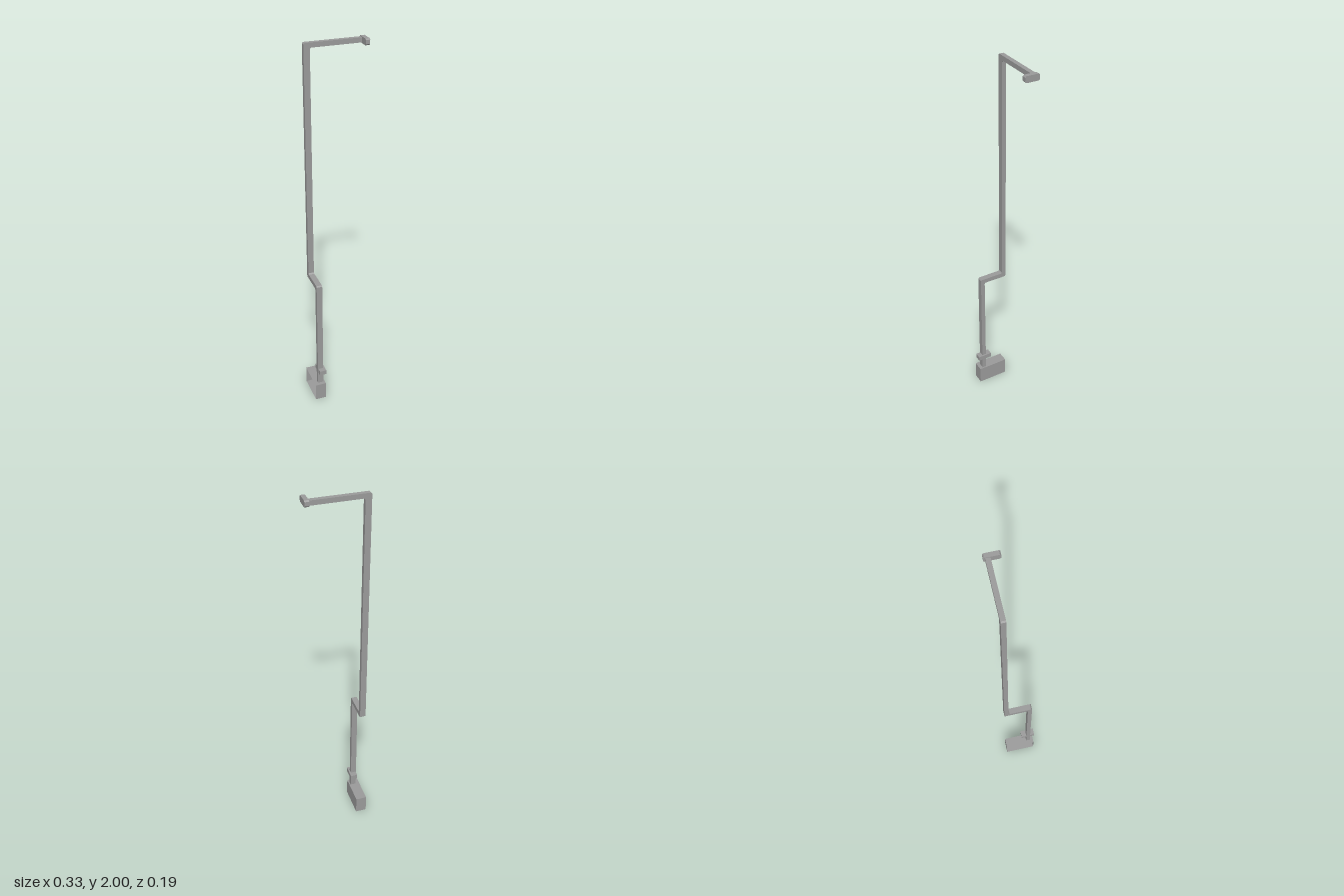
import * as THREE from 'three';

const material = new THREE.MeshStandardMaterial({ color: 0x9b9b9b, flatShading: true });
const shellMaterial = new THREE.MeshStandardMaterial({ color: 0x9b9b9b, flatShading: true, side: THREE.DoubleSide });

function add(group, name, geometry, mat = material) {
  const mesh = new THREE.Mesh(geometry, mat);
  mesh.name = name;
  group.add(mesh);
}

function extrude(points, depth) {
  const shape = new THREE.Shape(points.map(([x, y]) => new THREE.Vector2(x, y)));
  return new THREE.ExtrudeGeometry(shape, { depth, bevelEnabled: false });
}

// Profile drawn in (z, y), extruded along x from x0 to x1
function extrudeAlongX(points, x0, x1) {
  return extrude(points.map(([z, y]) => [-z, y]), x1 - x0).rotateY(Math.PI / 2).translate(x0, 0, 0);
}

function box(x0, x1, y0, y1, z0, z1) {
  return new THREE.BoxGeometry(x1 - x0, y1 - y0, z1 - z0)
    .translate((x0 + x1) / 2, (y0 + y1) / 2, (z0 + z1) / 2);
}

export function createModel() {
  const model = new THREE.Group();
  model.name = 'bentPipe';
  const c = 0.006; // chamfer at bends

  // Base housing: thin shell, open on the -x side
  const housing = box(-0.167, -0.107, 0, 0.1, -0.082, 0.087);
  const index = Array.from(housing.index.array);
  index.splice(6, 6);
  housing.setIndex(index);
  housing.clearGroups();
  add(model, 'baseHousing', housing, shellMaterial);

  // Lower pipe, offset jog and start of the upper pipe in one run
  add(model, 'offsetPipe', extrudeAlongX([
    [0.045, 0.09], [0.068, 0.09], [0.068, 0.747 - c], [0.068 - c, 0.747],
    [-0.064 + c, 0.747], [-0.064, 0.747 + c], [-0.064, 0.8], [-0.087, 0.8],
    [-0.087, 0.722 + c], [-0.087 + c, 0.722], [0.045 - c, 0.722], [0.045, 0.722 - c],
  ], -0.146, -0.115));

  // Upper pipe and top arm
  add(model, 'upperPipeAndArm', extrude([
    [-0.146, 0.8], [-0.115, 0.8], [-0.115, 1.972 - c], [-0.115 + c, 1.972],
    [0.15, 1.972], [0.15, 1.996], [-0.146 + c, 1.996], [-0.146, 1.996 - c],
  ], 0.023).translate(0, 0, -0.087));

  // Collar round the lower pipe
  add(model, 'collar', box(-0.143, -0.106, 0.172, 0.198, 0.016, 0.094));

  // Chamfered end fitting
  const [z0, z1, y0, y1] = [-0.095, -0.019, 1.968, 2];
  add(model, 'endFitting', extrudeAlongX([
    [z0 + c, y0], [z1 - c, y0], [z1, y0 + c], [z1, y1 - c],
    [z1 - c, y1], [z0 + c, y1], [z0, y1 - c], [z0, y0 + c],
  ], 0.145, 0.167));

  return model;
}
